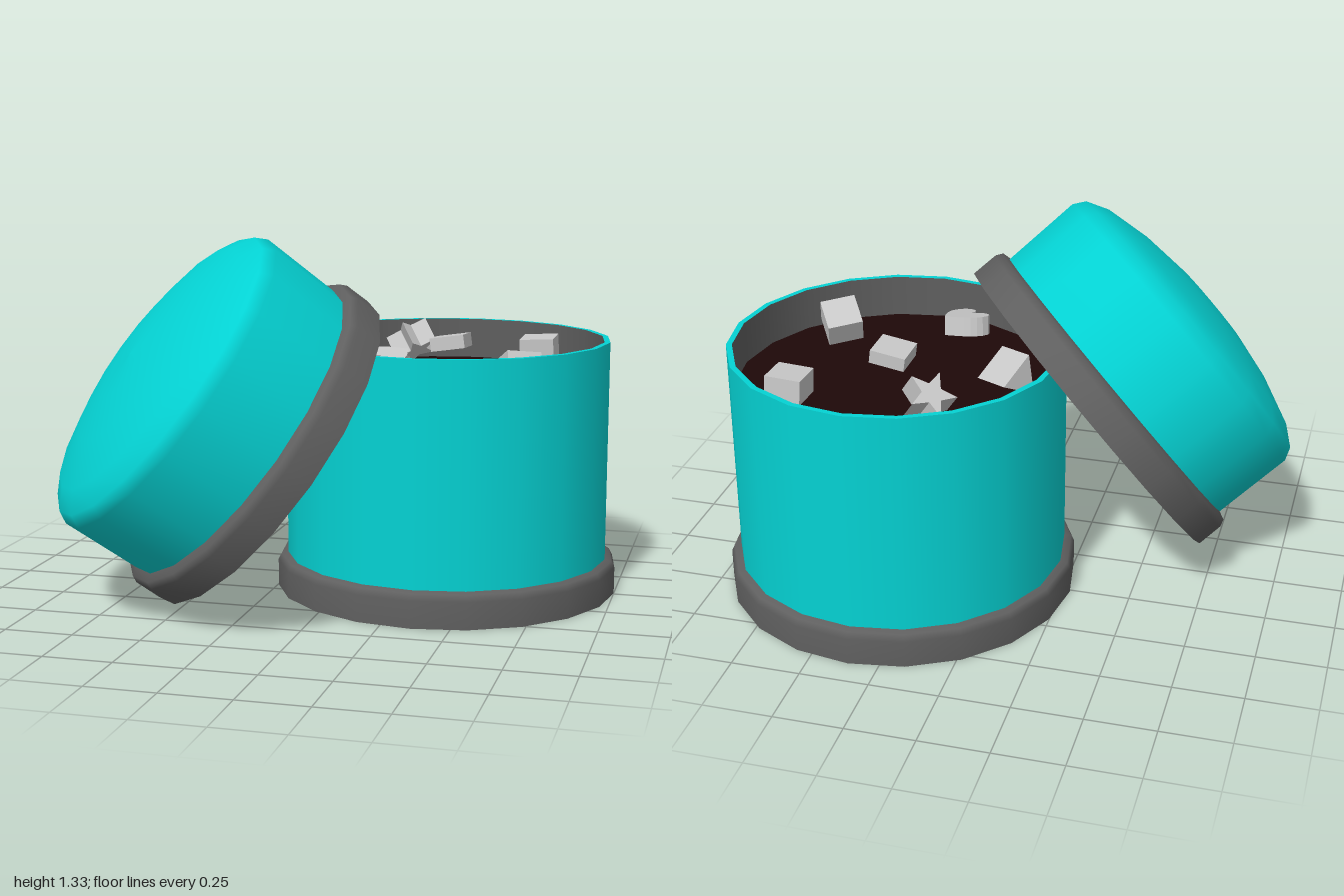
import * as THREE from 'three';

const mat = (name, color) => {
  const m = new THREE.MeshStandardMaterial({ color });
  m.name = name;
  return m;
};

export function createModel() {
  const teal = mat('teal', 0x04d2d3);
  const grey = mat('dark grey', 0x5f5f5f);
  const brown = mat('dark brown', 0x1e0808);
  const pale = mat('pale grey', 0xc8c8c8);
  const SIDES = 20;

  const model = new THREE.Group();
  model.name = 'openTub';

  // One lathe per smooth run of the profile, so edges between runs stay sharp.
  // Profiles run anticlockwise: bottom centre, outwards, up, inwards, down.
  const turn = (parent, name, material, ...runs) => {
    const part = new THREE.Group();
    part.name = name;
    for (const run of runs) {
      const pts = run.map(([r, y]) => new THREE.Vector2(r, y));
      const mesh = new THREE.Mesh(new THREE.LatheGeometry(pts, SIDES), material);
      mesh.name = name;
      part.add(mesh);
    }
    parent.add(part);
  };

  // Tub
  const tub = new THREE.Group();
  tub.name = 'tub';
  tub.position.set(0.36, 0, -0.26);
  model.add(tub);
  turn(tub, 'baseRing', grey,
    [[0, 0], [0.64, 0]],
    [[0.64, 0], [0.64, 0.1], [0.628, 0.123], [0.598, 0.13]]);
  turn(tub, 'tubWall', teal,
    [[0.603, 0.12], [0.603, 0.945]],
    [[0.603, 0.945], [0.582, 0.945]]);
  turn(tub, 'tubLining', grey, [[0.582, 0.945], [0.582, 0.78]]);
  turn(tub, 'filling', brown, [[0.583, 0.79], [0, 0.79]]);

  // Lid, turned and tilted to lean on the tub with its opening towards it
  const lid = new THREE.Group();
  lid.name = 'lid';
  lid.position.set(-0.243, 0.565, 0.14);
  lid.rotation.set(0.925, -1.03, 0, 'YXZ');
  model.add(lid);
  turn(lid, 'lidRing', grey,
    [[0.605, 0], [0.66, 0]],
    [[0.66, 0], [0.66, 0.1], [0.648, 0.125], [0.61, 0.135]]);
  turn(lid, 'lidDome', teal,
    [[0.615, 0.12], [0.622, 0.44], [0.598, 0.485], [0.52, 0.53], [0.35, 0.575], [0.17, 0.6], [0, 0.608]]);
  turn(lid, 'lidLining', grey,
    [[0, 0.58], [0.17, 0.573], [0.35, 0.55], [0.5, 0.505], [0.575, 0.43], [0.59, 0.13], [0.605, 0]]);

  // Extruded shape centred on its own depth
  const slab = (shape, depth) =>
    new THREE.ExtrudeGeometry(shape, { depth, bevelEnabled: false, curveSegments: 6 })
      .translate(0, 0, -depth / 2);

  const polygon = (count, radiusAt) => new THREE.Shape(
    Array.from({ length: count }, (_, i) => {
      const a = Math.PI / 2 + (i * 2 * Math.PI) / count;
      return new THREE.Vector2(Math.cos(a), Math.sin(a)).multiplyScalar(radiusAt(i));
    }));

  const heart = new THREE.Shape();
  heart.moveTo(0, -0.08);
  heart.bezierCurveTo(0.04, -0.05, 0.085, -0.02, 0.085, 0.03);
  heart.bezierCurveTo(0.085, 0.09, 0.015, 0.09, 0, 0.035);
  heart.bezierCurveTo(-0.015, 0.09, -0.085, 0.09, -0.085, 0.03);
  heart.bezierCurveTo(-0.085, -0.02, -0.04, -0.05, 0, -0.08);

  const block = (depth) => new THREE.BoxGeometry(0.13, 0.13, depth);
  const star = slab(polygon(10, (i) => (i % 2 ? 0.038 : 0.09)), 0.1);
  const wedge = slab(polygon(3, () => 0.085), 0.14);

  // Pieces in the filling: shape, centre, the way its +z end faces, then spin
  const pieces = [
    ['starPiece', star, [0.155, 0.885, -0.565], [-0.5, 0.75, -0.4], 0.2],
    ['blockPiece', block(0.09), [0.66, 0.875, -0.55], [-0.05, 1, 0.05], 0.03],
    ['wedgePiece', wedge, [-0.06, 0.885, -0.3], [0.83, -0.1, 0.55], 0.4],
    ['slabPiece', block(0.05), [0.36, 0.92, -0.31], [-0.15, 1, -0.05], 0.12],
    ['heartPiece', slab(heart, 0.07), [0.21, 0.89, 0.06], [0.05, 0.95, 0.2], 2.36],
    ['blockPiece', block(0.1), [0.67, 0.87, 0.015], [-0.15, 0.8, -0.4], 0.8],
  ];
  for (const [name, geometry, at, facing, spin] of pieces) {
    const mesh = new THREE.Mesh(geometry, pale);
    mesh.name = name;
    mesh.position.set(...at);
    mesh.quaternion.setFromUnitVectors(
      new THREE.Vector3(0, 0, 1), new THREE.Vector3(...facing).normalize());
    mesh.rotateZ(spin);
    model.add(mesh);
  }
  return model;
}
